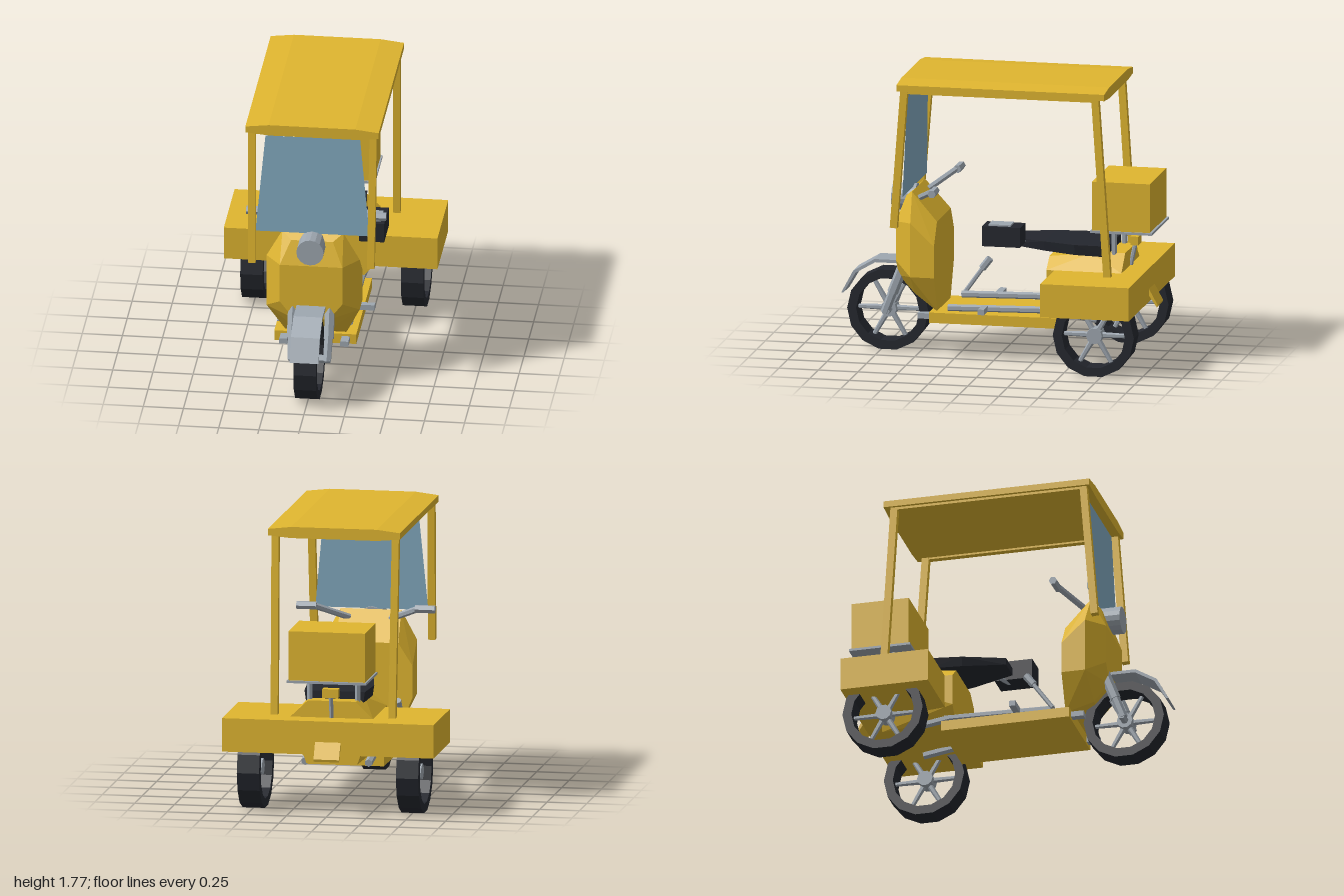
import * as THREE from 'three';
import { ConvexGeometry } from 'three/addons/geometries/ConvexGeometry.js';

const mat = (color, side = THREE.FrontSide) => new THREE.MeshStandardMaterial({ color, flatShading: true, side });
const V = (x, y, z) => new THREE.Vector3(x, y, z);

export function createModel() {
  const model = new THREE.Group();
  const yellow = mat(0xdfb52f), grey = mat(0x9ea7b0), dark = mat(0x24272e);
  const glass = mat(0x82aabf, THREE.DoubleSide);

  const add = (name, geo, material, parent = model) => {
    const mesh = new THREE.Mesh(geo, material);
    mesh.name = name;
    parent.add(mesh);
    return mesh;
  };
  // box from its lower and upper corners
  const box = (name, lo, hi, material) => {
    const mesh = add(name, new THREE.BoxGeometry(hi[0] - lo[0], hi[1] - lo[1], hi[2] - lo[2]), material);
    mesh.position.set((lo[0] + hi[0]) / 2, (lo[1] + hi[1]) / 2, (lo[2] + hi[2]) / 2);
    return mesh;
  };
  const align = (mesh, a, b) => {
    mesh.position.copy(a).lerp(b, 0.5);
    mesh.quaternion.setFromUnitVectors(V(0, 1, 0), b.clone().sub(a).normalize());
  };
  const rod = (name, a, b, r, material = grey, parent = model, rTop = r) =>
    align(add(name, new THREE.CylinderGeometry(rTop, r, a.distanceTo(b), 6), material, parent), a, b);
  const post = (name, a, b, w, material) =>
    align(add(name, new THREE.BoxGeometry(w, a.distanceTo(b), w), material), a, b);
  // side profile of [z, y] points, extruded across x
  const profile = (name, pts, width, material) => {
    const shape = new THREE.Shape(pts.map(([z, y]) => new THREE.Vector2(z, y)));
    const geo = new THREE.ExtrudeGeometry(shape, { depth: width, bevelEnabled: false });
    return add(name, geo.translate(0, 0, -width / 2).rotateY(-Math.PI / 2), material);
  };
  // convex shell from points mirrored across x
  const hull = (name, pts, material) =>
    add(name, new ConvexGeometry(pts.flatMap(([x, y, z]) => [V(x, y, z), V(-x, y, z)])), material);

  // wheels: faceted tyre, hub and six spokes
  const wheel = (name, x, z) => {
    const g = new THREE.Group();
    g.name = name;
    g.position.set(x, 0.26, z);
    const ring = [[0.2, -0.07], [0.257, -0.07], [0.257, 0.07], [0.2, 0.07], [0.2, -0.07]];
    const tyre = new THREE.LatheGeometry(ring.map(([r, h]) => new THREE.Vector2(r, h)), 14);
    add('tyre', tyre.rotateZ(Math.PI / 2), dark, g);
    add('hub', new THREE.CylinderGeometry(0.05, 0.05, 0.1, 10).rotateZ(Math.PI / 2), grey, g);
    for (let i = 0; i < 6; i++) {
      const a = (i * Math.PI) / 3;
      rod('spoke', V(0, 0, 0), V(0, Math.sin(a) * 0.205, Math.cos(a) * 0.205), 0.02, grey, g, 0.014);
    }
    model.add(g);
  };
  wheel('frontWheel', 0, 0.71);
  wheel('rearWheelLeft', 0.5, -0.7);
  wheel('rearWheelRight', -0.5, -0.7);

  // front mudguard and fork
  profile('frontMudguard', [[1.0, 0.36], [0.925, 0.5], [0.79, 0.58], [0.6, 0.58], [0.6, 0.56],
    [0.785, 0.56], [0.91, 0.487], [0.985, 0.36]], 0.18, grey);
  rod('frontAxle', V(-0.13, 0.26, 0.71), V(0.13, 0.26, 0.71), 0.025);

  // faceted leg shield and headlight
  hull('legShield', [
    [0.2, 0.86, 0.37], [0.29, 0.72, 0.37], [0.29, 0.52, 0.37], [0.19, 0.29, 0.37],
    [0.19, 1.04, 0.53], [0.29, 0.86, 0.52], [0.29, 0.52, 0.52], [0.11, 0.38, 0.53],
    [0.13, 1.0, 0.58], [0.195, 0.85, 0.63], [0.195, 0.6, 0.63], [0.11, 0.49, 0.63]], yellow);
  const lamp = add('headlight', new THREE.CylinderGeometry(0.085, 0.085, 0.15, 16).rotateX(Math.PI / 2), grey);
  lamp.position.set(0, 0.968, 0.612);

  // floor and its front tabs
  box('floor', [-0.255, 0.23, -0.41], [0.255, 0.295, 0.41], yellow);

  // windscreen
  const screen = new THREE.BufferGeometry().setFromPoints([V(-0.355, 1.04, 0.555), V(0.355, 1.04, 0.555),
    V(0.295, 1.685, 0.535), V(-0.295, 1.685, 0.535)]);
  screen.setIndex([0, 1, 2, 0, 2, 3]);
  screen.computeVertexNormals();
  add('windscreen', screen, glass);

  // roof with chamfered edges
  const section = [[-0.415, 1.76], [-0.415, 1.72], [-0.27, 1.707], [0.27, 1.707],
    [0.415, 1.72], [0.415, 1.76], [0.27, 1.777], [-0.27, 1.777]];
  const roof = new THREE.Shape(section.map(([x, y]) => new THREE.Vector2(x, y)));
  add('roof', new THREE.ExtrudeGeometry(roof, { depth: 1.315, bevelEnabled: false }).translate(0, 0, -0.735), yellow);

  // parts on both sides
  for (const s of [-1, 1]) {
    rod('forkLower', V(s * 0.11, 0.25, 0.72), V(s * 0.115, 0.42, 0.655), 0.028);
    rod('forkUpper', V(s * 0.115, 0.38, 0.67), V(s * 0.115, 0.56, 0.6), 0.034);
    rod('handlebar', V(s * 0.13, 0.99, 0.5), V(s * 0.33, 1.083, 0.36), 0.02);
    rod('grip', V(s * 0.31, 1.083, 0.355), V(s * 0.435, 1.083, 0.353), 0.026);
    post('frontPost', V(s * 0.37, 0.85, 0.605), V(s * 0.378, 1.72, 0.537), 0.045, yellow);
    post('rearPost', V(s * 0.37, 0.59, -0.747), V(s * 0.378, 1.72, -0.672), 0.045, yellow);
    box('roofRail', [s * 0.378 - 0.02, 1.703, -0.69], [s * 0.378 + 0.02, 1.73, 0.55], yellow);
    box('footPeg', [s * 0.265 - 0.065, 0.31, 0.045], [s * 0.265 + 0.065, 0.345, 0.085], grey);
    box('floorTab', [s * 0.19 - 0.025, 0.245, 0.4], [s * 0.19 + 0.025, 0.28, 0.49], grey);
    rod('frameTube', V(s * 0.2, 0.32, 0.3), V(s * 0.2, 0.335, -0.4), 0.022);
    rod('frameTubeRear', V(s * 0.2, 0.335, -0.36), V(s * 0.2, 0.29, -0.64), 0.025);
    rod('rackLeg', V(s * 0.15, 0.6, -0.74), V(s * 0.15, 0.85, -0.74), 0.018);
    rod('seatSpring', V(s * 0.1, 0.65, -0.46), V(s * 0.1, 0.71, -0.4), 0.022);
  }

  // brake lever
  rod('brakeLever', V(-0.24, 0.31, 0.3), V(-0.24, 0.52, 0.15), 0.014);
  rod('leverPad', V(-0.24, 0.48, 0.18), V(-0.24, 0.545, 0.13), 0.024);

  // rear body, seat base and rear flap
  box('rearBody', [-0.665, 0.39, -0.945], [0.665, 0.6, -0.385], yellow);
  hull('seatBase', [
    [0.2, 0.33, -0.335], [0.16, 0.31, -0.81], [0.26, 0.4, -0.335], [0.26, 0.6, -0.335],
    [0.26, 0.6, -0.81], [0.17, 0.67, -0.335], [0.17, 0.7, -0.6], [0.15, 0.705, -0.81]], yellow);
  profile('rearFlap', [[-0.93, 0.47], [-0.945, 0.47], [-1.0, 0.37], [-0.995, 0.355], [-0.93, 0.45]], 0.16, yellow);
  rod('tailLightStalk', V(0, 0.59, -0.81), V(0, 0.75, -0.845), 0.014);
  box('tailLight', [-0.05, 0.735, -0.87], [0.05, 0.79, -0.82], yellow);

  // tapered seat
  hull('seat', [
    [0.08, 0.76, -0.04], [0.08, 0.715, -0.04], [0.17, 0.76, -0.3], [0.16, 0.7, -0.3],
    [0.21, 0.755, -0.5], [0.2, 0.69, -0.5], [0.19, 0.75, -0.71], [0.18, 0.68, -0.71]], dark);

  // control box beside the seat
  box('controlBox', [0.23, 0.76, -0.195], [0.385, 0.885, 0.045], dark);
  box('controlPanel', [0.255, 0.88, -0.13], [0.36, 0.895, 0.01], grey);
  rod('controlBracket', V(0.1, 0.745, -0.17), V(0.3, 0.77, -0.12), 0.015);

  // cargo box on its rack
  box('rack', [-0.25, 0.845, -1.0], [0.25, 0.86, -0.61], grey);
  box('cargoBox', [-0.24, 0.86, -0.985], [0.24, 1.168, -0.62], yellow);

  return model;
}
